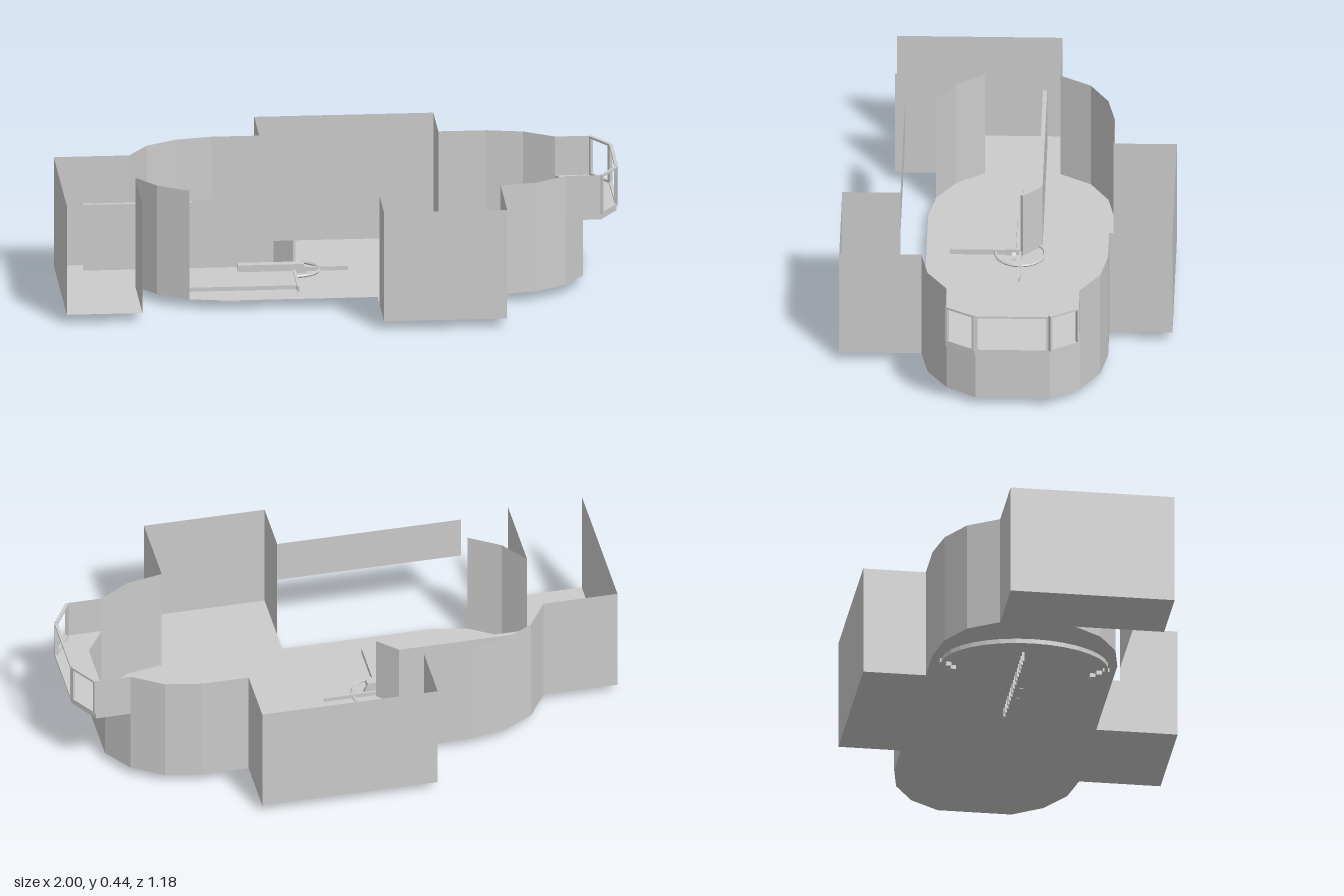
import * as THREE from 'three';

const FLOOR = 0.045, TOP = 0.45, SILL = 0.29;

export function createModel() {
  const model = new THREE.Group();
  const mat = new THREE.MeshStandardMaterial({ color: 0xcccccc, flatShading: true, side: THREE.DoubleSide });

  const add = (name, geo, parent = model) => {
    const mesh = new THREE.Mesh(geo, mat);
    mesh.name = name;
    parent.add(mesh);
    return mesh;
  };
  const box = (name, x0, x1, y0, y1, z0, z1, parent = model) => {
    const mesh = add(name, new THREE.BoxGeometry(x1 - x0, y1 - y0, z1 - z0), parent);
    mesh.position.set((x0 + x1) / 2, (y0 + y1) / 2, (z0 + z1) / 2);
    return mesh;
  };
  // Upright thin wall following [x, z] plan points
  const wall = (name, pts, y0 = FLOOR, y1 = TOP) => {
    const pos = [];
    for (let i = 0; i < pts.length - 1; i++) {
      const [ax, az] = pts[i], [bx, bz] = pts[i + 1];
      pos.push(ax, y0, az, bx, y0, bz, bx, y1, bz, ax, y0, az, bx, y1, bz, ax, y1, az);
    }
    const geo = new THREE.BufferGeometry();
    geo.setAttribute('position', new THREE.Float32BufferAttribute(pos, 3));
    geo.computeVertexNormals();
    return add(name, geo);
  };
  // Plan shapes are drawn as (x, -z) and laid flat
  const plan = pts => new THREE.Shape(pts.map(([x, z]) => new THREE.Vector2(x, -z)));
  const slab = (name, pts, y0, y1) => {
    const geo = new THREE.ExtrudeGeometry(plan(pts), { depth: y1 - y0, bevelEnabled: false });
    const mesh = add(name, geo.rotateX(-Math.PI / 2));
    mesh.position.y = y0;
    return mesh;
  };

  // Plan of the room, split where the walls change
  const back = [[-1, 0.42], [-1, -0.17], [-0.73, -0.17], [-0.66, -0.28], [-0.55, -0.345], [-0.42, -0.37],
    [-0.25, -0.37], [-0.25, -0.595], [0.39, -0.595], [0.39, -0.37], [0.56, -0.37], [0.69, -0.345], [0.8, -0.275]];
  const bayBase = [[0.8, -0.275], [0.87, -0.17], [0.87, 0.095], [0.8, 0.2]];
  const alcove = [[0.8, 0.2], [0.69, 0.27], [0.56, 0.295], [0.56, 0.588], [0.12, 0.588]];
  const frontLeft = [[-0.55, 0.27], [-0.66, 0.2], [-0.73, 0.1], [-0.73, 0.42]];

  // Floor
  const outline = [...back, ...bayBase.slice(1), ...alcove.slice(1), [0.12, 0.295], [-0.42, 0.295], ...frontLeft];
  const floor = add('floor', new THREE.ShapeGeometry(plan(outline)).rotateX(-Math.PI / 2));
  floor.position.y = FLOOR;

  // Walls
  wall('backWall', back);
  wall('bayLowerWall', bayBase, FLOOR, SILL);
  wall('alcoveWall', [...alcove, [0.12, 0.38]]);
  wall('frontCornerWall', frontLeft);
  wall('openingHeader', [[0.12, 0.38], [-0.55, 0.38]], SILL, TOP);

  // Bay window: sill, cheeks and three open frames
  const bay = [[0.8, -0.275], [0.925, -0.275], [0.99, -0.17], [0.99, 0.095], [0.925, 0.2], [0.8, 0.2]];
  slab('baySill', [...bay, ...bayBase.slice(1, 3).reverse()], 0.285, 0.305);
  wall('bayCheekBack', bay.slice(0, 2), 0.3, TOP);
  wall('bayCheekFront', bay.slice(4), 0.3, TOP);
  for (let i = 1; i < 4; i++) {
    const [ax, az] = bay[i], [bx, bz] = bay[i + 1];
    const w = Math.hypot(bx - ax, bz - az) - 0.004, h = TOP - 0.305, t = 0.008;
    const frame = new THREE.Group();
    frame.name = 'bayWindowFrame';
    frame.position.set((ax + bx) / 2, 0.305, (az + bz) / 2);
    frame.rotation.y = Math.atan2(-(bz - az), bx - ax);
    for (const s of [-1, 1]) {
      const c = s * (w - t) / 2;
      box('framePost', c - t / 2, c + t / 2, 0, h, -0.006, 0.006, frame);
    }
    box('frameBottom', -w / 2, w / 2, 0, t, -0.006, 0.006, frame);
    box('frameTop', -w / 2, w / 2, h - t, h, -0.006, 0.006, frame);
    model.add(frame);
  }

  // Partition with an angled end
  slab('partition', [[-0.9, -0.118], [-0.215, -0.118], [-0.145, -0.05], [-0.155, -0.04],
    [-0.22, -0.103], [-0.9, -0.103]], FLOOR, SILL);

  // Low platform, step and divider strip
  box('platform', -0.64, -0.155, FLOOR, 0.06, -0.04, 0.18);
  box('platformStep', -0.355, -0.12, 0.06, 0.085, -0.025, 0.008);
  box('dividerStrip', -0.16, -0.15, FLOOR, 0.065, -0.04, 0.21);
  box('floorStrip', -0.5, 0.04, FLOOR, 0.06, -0.044, -0.036);

  // Round floor ring with a half hub beneath
  const ring = add('floorRing', new THREE.TorusGeometry(0.088, 0.006, 6, 32).rotateX(Math.PI / 2));
  ring.position.set(-0.15, 0.052, -0.04);
  const hub = add('hub', new THREE.CylinderGeometry(0.042, 0.042, 0.014, 20, 1, false, Math.PI / 2, Math.PI)
    .rotateX(Math.PI / 2));
  hub.scale.y = 1;
  hub.position.set(-0.15, 0.043, -0.018);

  // Row of pegs under the floor
  for (let i = 0; i < 15; i++) {
    const x = -0.49 + i * 0.034;
    box('peg', x - 0.004, x + 0.004, 0.01, FLOOR, -0.058, -0.05);
  }

  // Curved rail under the rounded end, with stepped ends
  const arc = (r, dir) => Array.from({ length: 17 }, (_, i) => {
    const a = dir * (Math.PI / 2 - Math.PI * i / 16);
    return [-0.4 - (0.205 - r) * Math.cos(a), -0.035 + (0.3 - r) * Math.sin(a)];
  });
  slab('curvedRail', [...arc(0, 1), ...arc(0.014, -1)], 0.028, FLOOR);
  for (const s of [-1, 1]) for (let i = 0; i < 3; i++) {
    const z = -0.035 + s * (0.293 - i * 0.02), x = -0.4 + i * 0.025;
    box('railStep', x, x + 0.03, 0.03, FLOOR, z - 0.012, z + 0.012);
  }
  // Recentre exactly and stand on the ground
  const b = new THREE.Box3().setFromObject(model);
  const c = b.getCenter(new THREE.Vector3());
  model.children.forEach(o => { o.position.x -= c.x; o.position.y -= b.min.y; o.position.z -= c.z; });
  return model;
}
